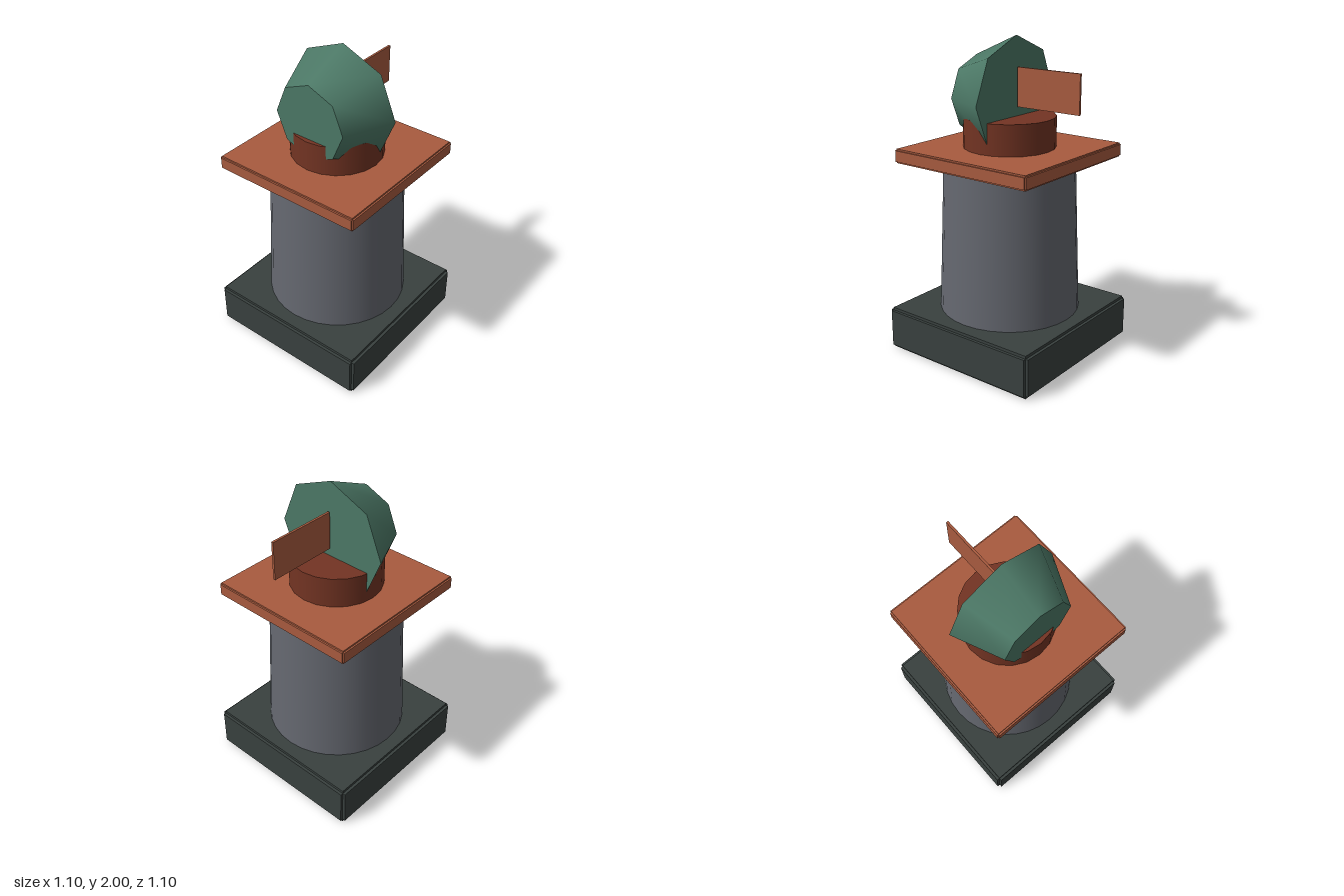
import * as THREE from 'three';

const mat = (name, color) => {
  const m = new THREE.MeshStandardMaterial({ color });
  m.name = name;
  return m;
};

export function createModel() {
  const model = new THREE.Group();
  model.name = 'chimneyCowl';

  const darkStone = mat('darkStone', 0x39413f);
  const greyClay = mat('greyClay', 0x656870);
  const terracotta = mat('terracotta', 0xa85b3f);
  const darkRust = mat('darkRust', 0x733423);
  const greenMetal = mat('greenMetal', 0x4c7866);

  const add = (name, geometry, material, x, y, z, parent = model) => {
    const mesh = new THREE.Mesh(geometry, material);
    mesh.name = name;
    mesh.position.set(x, y, z);
    parent.add(mesh);
    return mesh;
  };

  // Square slab with a small step cut along every edge: three crossing boxes
  const steppedSlab = (name, width, y0, y1, step, material) => {
    const group = new THREE.Group();
    group.name = name;
    const size = [width, y1 - y0, width];
    for (let axis = 0; axis < 3; axis++) {
      const dims = size.map((s, i) => (i === axis ? s : s - 2 * step));
      add(name + 'XYZ'[axis], new THREE.BoxGeometry(...dims), material, 0, (y0 + y1) / 2, 0, group);
    }
    model.add(group);
  };

  // Plinth, tapered pot and capping slab
  steppedSlab('plinth', 1.1, 0, 0.275, 0.018, darkStone);
  add('pot', new THREE.CylinderGeometry(0.41, 0.448, 0.97, 32), greyClay, 0, 0.755, 0);
  steppedSlab('capSlab', 1.0, 1.233, 1.322, 0.01, terracotta);

  // Swivel collar
  add('collar', new THREE.CylinderGeometry(0.288, 0.288, 0.2, 20), darkRust, 0, 1.414, 0);

  // Eight-sided hood, narrowing toward the front
  const hood = new THREE.CylinderGeometry(0.242, 0.378, 0.31, 8);
  hood.rotateX(Math.PI / 2);
  add('hood', hood, greenMetal, 0, 1.622, 0.103);

  // Wind vane at the back
  add('windVane', new THREE.BoxGeometry(0.014, 0.24, 0.445), terracotta, 0, 1.693, -0.288);

  return model;
}
